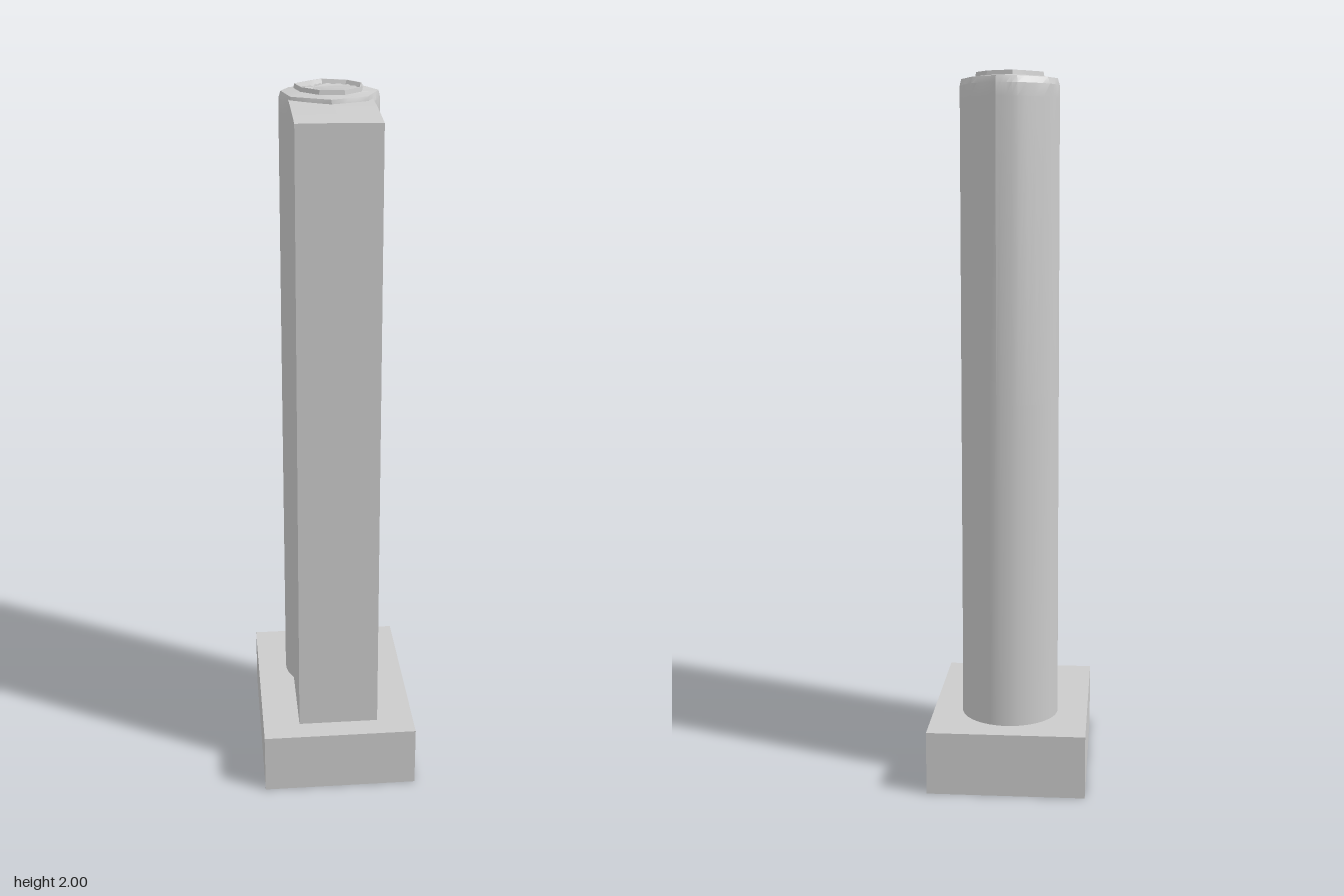
import * as THREE from 'three';
import { toCreasedNormals } from 'three/addons/utils/BufferGeometryUtils.js';

const TURN = THREE.MathUtils.degToRad(20);
const CX = -0.03, CZ = -0.088, RADIUS = 0.139, STEPS = 4;

// Uneven nine-sided outlines around the shaft axis, as x, z pairs
const SHOULDER = [[-0.075, 0.124], [0.045, 0.14], [0.127, 0.062], [0.13, -0.048], [0.06, -0.118],
  [-0.02, -0.138], [-0.07, -0.108], [-0.125, -0.023], [-0.13, 0.037]];
const RIM = [[-0.06, 0.067], [0, 0.099], [0.065, 0.082], [0.095, 0.022], [0.08, -0.05],
  [0.03, -0.085], [-0.045, -0.085], [-0.065, -0.053], [-0.095, 0.012]];

// Subdivide an outline, optionally rounding it towards a circle
function ring(outline, y, scale = 1, round = 0) {
  const points = [];
  outline.forEach(([ax, az], i) => {
    const [bx, bz] = outline[(i + 1) % outline.length];
    for (let s = 0; s < STEPS; s++) {
      const t = s / STEPS;
      const x = ax + (bx - ax) * t, z = az + (bz - az) * t;
      const k = scale * THREE.MathUtils.lerp(1, RADIUS / Math.hypot(x, z), round);
      points.push(new THREE.Vector3(CX + x * k, y, CZ + z * k));
    }
  });
  return points;
}

// Skin successive rings
function loft(rings, crease) {
  const n = rings[0].length, index = [];
  for (let r = 0; r < rings.length - 1; r++) {
    for (let i = 0; i < n; i++) {
      const a = r * n + i, b = r * n + (i + 1) % n;
      index.push(a, b, b + n, a, b + n, a + n);
    }
  }
  const geometry = new THREE.BufferGeometry().setFromPoints(rings.flat());
  geometry.setIndex(index);
  return toCreasedNormals(geometry, crease);
}

export function createModel() {
  const group = new THREE.Group();
  const material = new THREE.MeshStandardMaterial({ color: 0xcccccc, side: THREE.DoubleSide });
  const flat = new THREE.MeshStandardMaterial({ color: 0xcccccc, side: THREE.DoubleSide, flatShading: true });
  const add = (name, geometry, mat, parent = group) => {
    const mesh = new THREE.Mesh(geometry, mat);
    mesh.name = name;
    parent.add(mesh);
  };

  // Plinth and square tower share the same turn
  const turned = new THREE.Group();
  turned.name = 'turnedBlocks';
  turned.rotation.y = TURN;
  group.add(turned);
  add('plinth', new THREE.BoxGeometry(0.447, 0.18, 0.603).translate(0, 0.09, 0), flat, turned);

  // Slightly tapered tower whose roof dips towards its front edge
  const tower = new THREE.BoxGeometry(1, 1, 1, 2, 1, 4);
  const p = tower.attributes.position;
  for (let i = 0; i < p.count; i++) {
    const top = p.getY(i) > 0, front = p.getZ(i) + 0.5;
    const y = top ? 1.975 - 0.018 * front ** 2 - (p.getX(i) > 0.4 ? 0.002 : 0) : 0.17;
    p.setXYZ(i, p.getX(i) * (top ? 0.227 : 0.233), y, -0.092 + front * (top ? 0.322 : 0.326));
  }
  add('squareTower', tower, flat, turned);

  // Shaft: round at the foot, faceted towards its shoulder
  add('roundShaft', loft([
    ring(SHOULDER, 0.17, 1, 1),
    ring(SHOULDER, 1.1, 1, 0.8),
    ring(SHOULDER, 1.93, 1, 0.5),
    ring(SHOULDER, 1.965, 1, 0.35),
    ring(SHOULDER, 1.983, 0.97),
    ring(RIM, 1.988, 1.02),
  ], 0.35), material);

  // Raised rim with a shallow cup inside
  add('rim', loft([
    ring(RIM, 1.985, 1.02), ring(RIM, 2, 0.99), ring(RIM, 2, 0.95), ring(RIM, 1.987, 0.87),
  ], 0.3), material);

  // Pleated cup floor fanning out from one off-centre point
  const edge = ring(RIM, 1.987, 0.87);
  edge.forEach((v, i) => { v.y += i % 2 ? 0.004 : 0; });
  const hub = edge.map(() => new THREE.Vector3(CX - 0.055, 1.984, CZ - 0.042));
  add('cupFloor', loft([edge, hub], 0.01), flat);

  return group;
}
